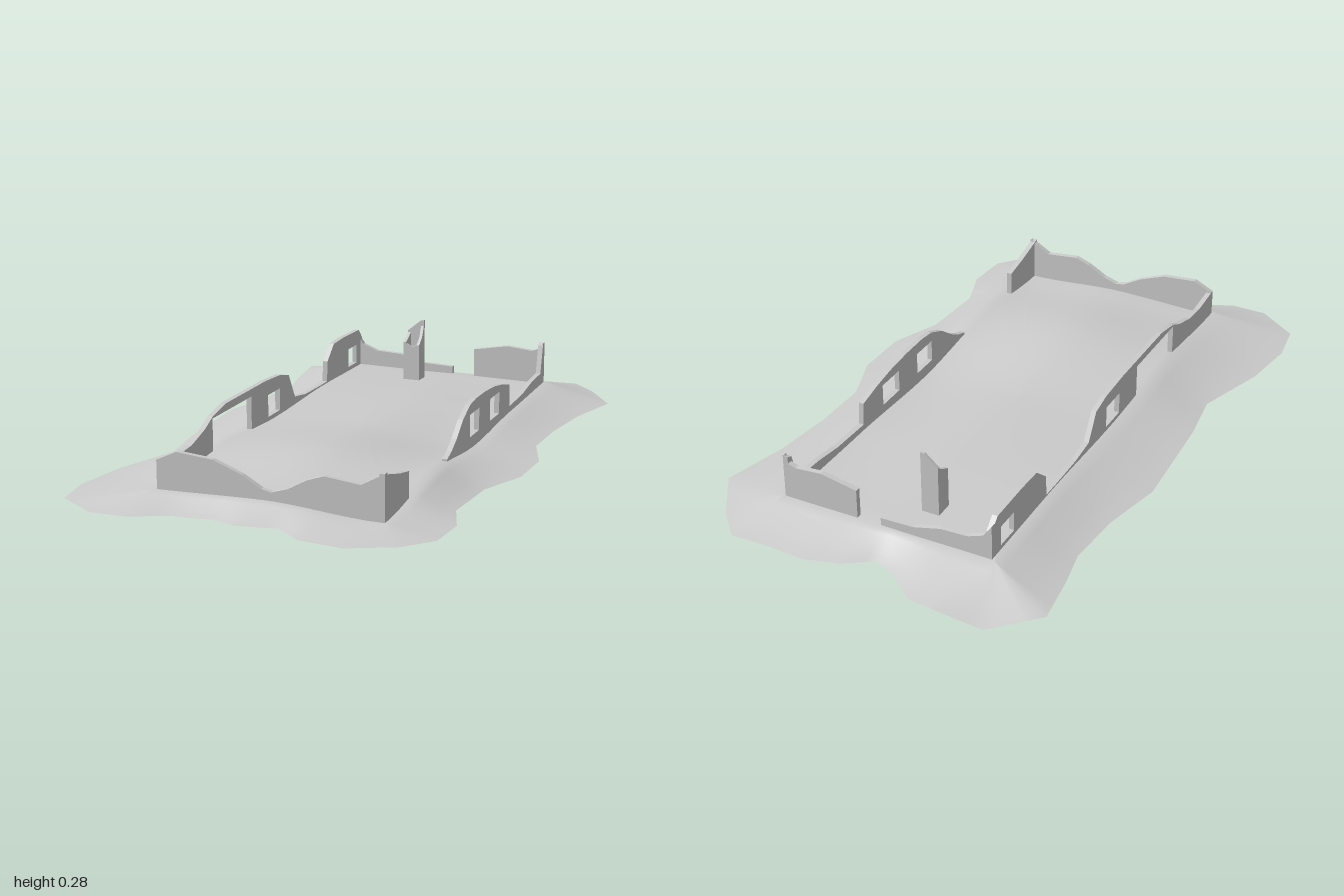
import * as THREE from 'three';

const material = new THREE.MeshStandardMaterial({ color: 0xcccccc, side: THREE.DoubleSide });
const BASE = 0.03; // wall footings, just under the ground
const T = 0.017; // wall thickness

// Ragged outer edge of the ground, as x, z pairs
const EDGE = [
  [-0.55, -0.88], [-0.41, -0.99], [-0.27, -1], [-0.17, -0.99], [-0.07, -0.91], [0, -0.885], [0.08, -0.94],
  [0.19, -0.975], [0.3, -0.97], [0.44, -0.975], [0.52, -0.89], [0.615, -0.74], [0.56, -0.53], [0.535, -0.33],
  [0.53, -0.14], [0.585, 0.02], [0.58, 0.2], [0.515, 0.36], [0.5, 0.58], [0.545, 0.71], [0.535, 0.85],
  [0.46, 0.935], [0.32, 1], [0.18, 0.98], [0.09, 0.91], [-0.03, 0.93], [-0.11, 0.905], [-0.24, 0.915],
  [-0.35, 0.965], [-0.47, 0.965], [-0.6, 0.875], [-0.62, 0.74], [-0.595, 0.56], [-0.52, 0.33],
  [-0.545, 0.15], [-0.565, -0.2], [-0.52, -0.4], [-0.505, -0.59], [-0.53, -0.72],
];

// Floor heights on a coarse grid: rows run back to front, columns along x
const FLOOR = [
  [0.075, 0.07, 0.065],
  [0.08, 0.08, 0.06],
  [0.07, 0.078, 0.046],
  [0.085, 0.105, 0.075],
  [0.06, 0.065, 0.04],
];

function floorHeight(x, z) {
  const u = THREE.MathUtils.clamp((x + 0.36) / 0.36, 0, 1.999);
  const v = THREE.MathUtils.clamp((z + 0.8) / 0.4, 0, 3.999);
  const i = Math.floor(u), j = Math.floor(v);
  const fx = THREE.MathUtils.smoothstep(u - i, 0, 1), fz = THREE.MathUtils.smoothstep(v - j, 0, 1);
  const { lerp } = THREE.MathUtils;
  return lerp(lerp(FLOOR[j][i], FLOOR[j][i + 1], fx), lerp(FLOOR[j + 1][i], FLOOR[j + 1][i + 1], fx), fz);
}

// Ground sheet: rings from the centre to the walls, then sloping to the ragged edge
function groundGeometry() {
  const rim = [];
  EDGE.forEach(([x, z], i) => {
    const [nx, nz] = EDGE[(i + 1) % EDGE.length];
    const y = i === 1 ? 0 : 0.02, ny = i === 0 ? 0 : 0.02;
    for (let k = 0; k < 3; k++) {
      rim.push(new THREE.Vector3(x, y, z).lerp(new THREE.Vector3(nx, ny, nz), k / 3));
    }
  });
  const inner = 12, outer = 6, n = rim.length;
  const positions = [], indices = [];
  for (let r = 0; r <= inner + outer; r++) {
    for (const p of rim) {
      const wx = THREE.MathUtils.clamp(p.x, -0.34, 0.38), wz = THREE.MathUtils.clamp(p.z, -0.79, 0.82);
      if (r <= inner) {
        const x = wx * r / inner, z = wz * r / inner;
        positions.push(x, floorHeight(x, z), z);
      } else {
        const s = (r - inner) / outer;
        const y = p.y + (floorHeight(wx, wz) - p.y) * Math.pow(1 - s, 1.2);
        positions.push(wx + (p.x - wx) * s, y, wz + (p.z - wz) * s);
      }
    }
  }
  for (let r = 0; r < inner + outer; r++) {
    for (let i = 0; i < n; i++) {
      const j = (i + 1) % n;
      const a = r * n + i, b = r * n + j, c = a + n, d = b + n;
      if (r > 0) indices.push(a, b, d);
      indices.push(a, d, c);
    }
  }
  const g = new THREE.BufferGeometry();
  g.setAttribute('position', new THREE.Float32BufferAttribute(positions, 3));
  g.setIndex(indices);
  g.computeVertexNormals();
  return g;
}

// Wall panel from its outline, with windows given as [from, to, bottom, top]
function wallGeometry(points, windows = []) {
  const shape = new THREE.Shape(points.map(([u, y]) => new THREE.Vector2(u, y)));
  for (const [a, b, lo, hi] of windows) {
    const hole = new THREE.Path();
    hole.moveTo(a, lo).lineTo(a, hi).lineTo(b, hi).lineTo(b, lo).closePath();
    shape.holes.push(hole);
  }
  return new THREE.ExtrudeGeometry(shape, { depth: T, bevelEnabled: false });
}

// Closes a top line down to the footing
const standing = (top) => [[top[0][0], BASE], ...top, [top[top.length - 1][0], BASE]];

export function createModel() {
  const group = new THREE.Group();
  const add = (name, geometry) => {
    const mesh = new THREE.Mesh(geometry, material);
    mesh.name = name;
    group.add(mesh);
  };
  const endWall = (name, z, top) => add(name, wallGeometry(standing(top)).translate(0, 0, z));
  const sideWall = (name, x, outline, windows) =>
    add(name, wallGeometry(outline, windows).rotateY(-Math.PI / 2).translate(x + T, 0, 0));

  add('ground', groundGeometry());

  // End walls
  endWall('frontWall', 0.799, [[-0.328, 0.148], [-0.265, 0.178], [-0.15, 0.167], [-0.06, 0.132], [0, 0.097],
    [0.03, 0.09], [0.08, 0.105], [0.14, 0.138], [0.19, 0.155], [0.3, 0.142], [0.372, 0.182]]);
  endWall('backWallRight', -0.785, [[-0.328, 0.19], [-0.3, 0.15], [-0.25, 0.13], [-0.16, 0.125],
    [-0.07, 0.1], [0.04, 0.095]]);
  endWall('backWallLeft', -0.785, [[0.12, 0.165], [0.24, 0.186], [0.33, 0.177], [0.355, 0.185], [0.372, 0.208]]);

  // Left side wall with two windows, and its short front piece
  sideWall('leftWall', 0.355, standing([[-0.785, 0.208], [-0.765, 0.2], [-0.74, 0.105], [-0.63, 0.1], [-0.52, 0.085],
    [-0.37, 0.08], [-0.365, 0.155], [-0.28, 0.175], [-0.2, 0.188], [-0.1, 0.196], [0, 0.197], [0.06, 0.19],
    [0.13, 0.16], [0.19, 0.115], [0.24, 0.088], [0.28, 0.075]]),
  [[-0.25, -0.15, 0.085, 0.158], [-0.035, 0.06, 0.085, 0.158]]);
  sideWall('leftWallFront', 0.355, standing([[0.62, 0.135], [0.7, 0.15], [0.815, 0.18]]));

  // Right side wall with a wide doorway under a lintel
  sideWall('rightWall', -0.328, [[-0.785, BASE], [-0.785, 0.17], [-0.75, 0.205], [-0.6, 0.208], [-0.51, 0.205],
    [-0.45, 0.155], [-0.445, 0.085], [-0.37, 0.085], [-0.25, 0.087], [-0.16, 0.1], [-0.11, 0.185], [-0.04, 0.202],
    [0.08, 0.209], [0.38, 0.209], [0.47, 0.192], [0.53, 0.165], [0.62, 0.14], [0.7, 0.135], [0.815, 0.148],
    [0.815, BASE], [0.475, BASE], [0.475, 0.185], [0.19, 0.185], [0.19, BASE]],
  [[-0.73, -0.65, 0.09, 0.155], [-0.035, 0.06, 0.085, 0.158]]);

  // Broken hollow chimney: four panels with slanting tops
  const chimney = new THREE.Group();
  chimney.name = 'chimney';
  const W = 0.058, t = 0.01;
  const panels = [
    [[0, 0.208], [0.028, 0.193], [W, 0.2]],
    [[0, 0.2], [0.03, 0.222], [W, 0.28]],
    [[0, 0.28], [0.012, 0.278], [W, 0.24]],
    [[0, 0.24], [0.03, 0.222], [W, 0.208]],
  ];
  panels.forEach((top, i) => {
    const shape = new THREE.Shape(standing(top).map(([u, y]) => new THREE.Vector2(u - W / 2, y)));
    const g = new THREE.ExtrudeGeometry(shape, { depth: t, bevelEnabled: false });
    const panel = new THREE.Mesh(g.translate(0, 0, W / 2 - t).rotateY(i * Math.PI / 2), material);
    panel.name = 'chimneySide';
    chimney.add(panel);
  });
  chimney.position.set(-0.061, 0, -0.642);
  group.add(chimney);

  return group;
}
